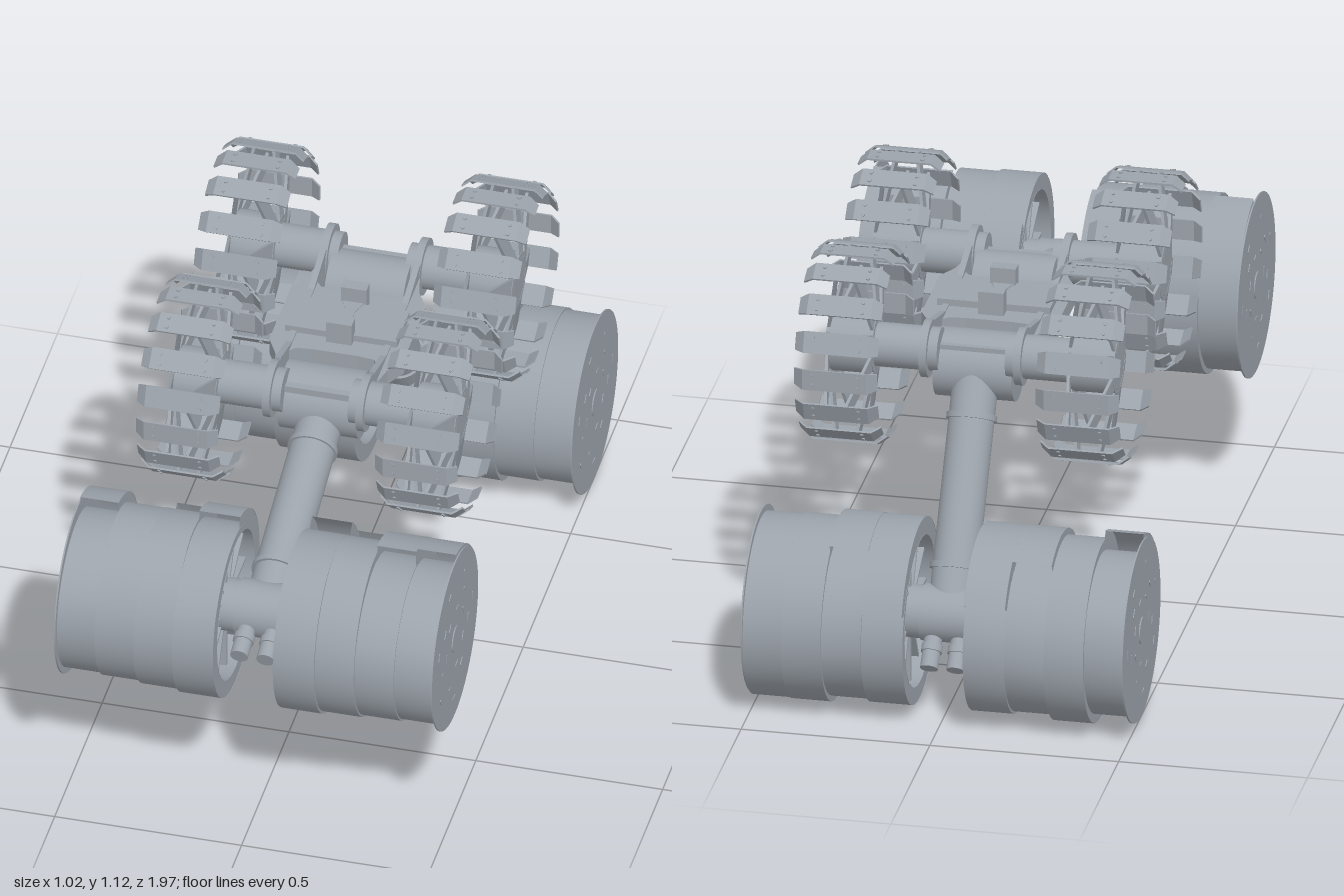
import * as THREE from 'three';
import { mergeGeometries, toCreasedNormals } from 'three/addons/utils/BufferGeometryUtils.js';

const metal = new THREE.MeshStandardMaterial({ color: 0x9ca3ab, side: THREE.DoubleSide });
metal.name = 'greyMetal';
const { PI, sin, cos } = Math;
const RAD = PI / 180;

function add(parent, name, geometry, x = 0, y = 0, z = 0) {
  const mesh = new THREE.Mesh(geometry, metal);
  mesh.name = name;
  mesh.position.set(x, y, z);
  parent.add(mesh);
  return mesh;
}

function group(parent, name, x = 0, y = 0, z = 0) {
  const g = new THREE.Group();
  g.name = name;
  g.position.set(x, y, z);
  parent.add(g);
  return g;
}

const box = (w, h, d) => new THREE.BoxGeometry(w, h, d);

// cylinder lying along x
const axle = (r, length, sides = 32) => new THREE.CylinderGeometry(r, r, length, sides).rotateZ(PI / 2);

// round bar between two points
function bar(parent, name, a, b, r, sides = 28) {
  const dir = b.clone().sub(a);
  const mesh = add(parent, name, new THREE.CylinderGeometry(r, r, dir.length(), sides));
  mesh.position.copy(a).addScaledVector(dir, 0.5);
  mesh.quaternion.setFromUnitVectors(new THREE.Vector3(0, 1, 0), dir.normalize());
}

// plate from an outline, centred on its thickness
function plate(points, thickness) {
  const shape = new THREE.Shape(points.map(p => new THREE.Vector2(...p)));
  return new THREE.ExtrudeGeometry(shape, { depth: thickness, bevelEnabled: false }).translate(0, 0, -thickness / 2);
}
const sidePlate = (points, thickness) => plate(points, thickness).rotateY(-PI / 2); // points are [z, y]
const flatPlate = (points, thickness) => plate(points, thickness).rotateX(PI / 2); // points are [x, z]

// ---- digging drums: four stepped segments, each a shell that flares into one open scoop lip ----
const EDGES = [0.08, 0.19, 0.295, 0.4, 0.503];
const BASE_RADII = [0.245, 0.238, 0.232, 0.227];
// t is the turn behind the lip; the shell tucks in again below the lip
function scoopRadius(t, base) {
  const flare = Math.max(0, 1 - t / 0.35), tuck = Math.max(0, (t - 0.8) / 0.2);
  return base + (0.257 - base) * flare - 0.022 * tuck;
}

function scoopShell(x0, x1, base, phase, dir) {
  const position = [], index = [], steps = 60;
  for (let i = 0; i <= steps; i++) {
    const t = 1.06 * i / steps, r = scoopRadius(t, base), a = phase + t * 2 * PI;
    for (const x of [x0, x1]) position.push(x, r * sin(a), dir * r * cos(a));
    const p = 2 * i;
    if (i < steps) index.push(...((x1 > x0) === (dir > 0) ? [p, p + 1, p + 2, p + 1, p + 3, p + 2] : [p, p + 2, p + 1, p + 1, p + 2, p + 3]));
  }
  const g = new THREE.BufferGeometry();
  g.setAttribute('position', new THREE.Float32BufferAttribute(position, 3));
  g.setIndex(index.reverse());
  g.computeVertexNormals();
  return g;
}

function scoopWall(x, base, phase, dir, hole) {
  const points = [];
  for (let i = 0; i <= 50; i++) {
    const t = i / 50, r = scoopRadius(t, base), a = phase + t * 2 * PI;
    points.push(new THREE.Vector2(dir * r * cos(a), r * sin(a)));
  }
  const shape = new THREE.Shape(points);
  if (hole) shape.holes.push(new THREE.Path().absarc(0, 0, hole, 0, 2 * PI, true));
  return new THREE.ShapeGeometry(shape, 24).rotateY(-PI / 2).translate(x, 0, 0);
}

function makeDrum(parent, side, dir, phases) {
  const drum = group(parent, side > 0 ? 'leftDrum' : 'rightDrum');
  phases.forEach((degrees, i) => {
    const a = side * EDGES[i], b = side * EDGES[i + 1], phase = degrees * RAD, base = BASE_RADII[i];
    add(drum, 'scoopShell', scoopShell(a, b, base, phase, dir));
    add(drum, 'scoopInnerWall', scoopWall(a + side * 0.001, base, phase, dir, i ? 0 : 0.2));
    add(drum, 'scoopOuterWall', scoopWall(b - side * 0.001, base, phase, dir));
  });
  // outer cap with a hub ring and short raised slots
  add(drum, 'endCap', axle(0.244, 0.004, 56), side * 0.504);
  add(drum, 'endHub', axle(0.036, 0.006, 28), side * 0.506);
  for (let i = 0; i < 18; i++) {
    const a = i * 137.5 * RAD, r = 0.09 + 0.045 * (i % 3);
    const slot = add(drum, 'capSlot', box(0.004, 0.006, 0.024), side * 0.506, r * sin(a), r * cos(a));
    slot.rotation.x = PI / 2 - a;
  }
  // ribbed recess on the inner end
  add(drum, 'recessWall', new THREE.CylinderGeometry(0.2, 0.2, 0.11, 40, 1, true).rotateZ(PI / 2), side * 0.135);
  add(drum, 'innerHub', axle(0.07, 0.13), side * 0.125);
  for (let i = 0; i < 12; i++) {
    const a = i * PI / 6;
    add(drum, 'recessRib', box(0.085, 0.135, 0.008), side * 0.147, 0.133 * cos(a), 0.133 * sin(a)).rotation.x = a;
  }
}

// ---- open wheels: sixteen thin bent slats carried on paired flat spokes ----
const slatHalf = [[0.085, 0], [0.11, -0.02], [0.108, -0.025], [0.084, -0.005]];
const slatOutline = [...slatHalf, ...slatHalf.map(([x, y]) => [-x, y]).reverse()];
const slatBody = plate(slatOutline, 0.057);
const slatPosition = slatBody.attributes.position;
// narrow the bent ends
for (let i = 0; i < slatPosition.count; i++)
  if (Math.abs(slatPosition.getX(i)) > 0.1) slatPosition.setZ(i, slatPosition.getZ(i) * 0.8);
slatBody.computeVertexNormals();
const slatParts = [slatBody.translate(0, 0.259, 0)];
for (const x of [-0.06, 0.06]) for (const z of [-0.014, 0.014])
  slatParts.push(new THREE.CylinderGeometry(0.005, 0.005, 0.005, 6).toNonIndexed().translate(x, 0.26, z));
const slatGeometry = mergeGeometries(slatParts);

function makeWheel(parent, side, z) {
  const wheel = group(parent, 'wheel', side * 0.32, 0.87, z);
  for (let i = 0; i < 16; i++) add(wheel, 'slat', slatGeometry).rotation.x = i * PI / 8;
  for (let i = 0; i < 8; i++) {
    const spokes = group(wheel, 'spokePair');
    spokes.rotation.x = (i + 0.5) * PI / 4;
    for (const s of [-1, 1]) add(spokes, 'spoke', box(0.008, 0.192, 0.046), s * 0.043, 0.156, 0).rotation.z = s * 0.17;
  }
  add(wheel, 'hub', new THREE.CylinderGeometry(0.078, 0.078, 0.125, 16).rotateZ(PI / 2));
  // axle housing towards the body
  add(parent, 'axleHousing', axle(0.058, 0.18), side * 0.18, 0.87, z);
  add(parent, 'axleFlange', axle(0.076, 0.02), side * 0.125, 0.87, z);
}

// ---- shoulder, swinging arm and drum pair ----
function makeArm(parent, { name, shoulderZ, drumY, drumZ, armTop, wheelZ, nubAngle, leftLips, rightLips }) {
  const dir = Math.sign(drumZ);
  const arm = group(parent, name);
  add(arm, 'shoulder', axle(0.09, 0.21, 40), 0, 0.815, shoulderZ);
  add(arm, 'shoulderBlock', box(0.2, 0.08, 0.08), 0, 0.85, (shoulderZ + wheelZ) / 2);
  const start = new THREE.Vector3(0, ...armTop), end = new THREE.Vector3(0, drumY, drumZ);
  const along = end.clone().sub(start).normalize();
  const at = (from, way, d) => from.clone().addScaledVector(way, d);
  bar(arm, 'armTube', start, end, 0.06);
  bar(arm, 'armCollar', at(end, along, -0.13), at(end, along, -0.115), 0.067);
  bar(arm, 'upperCollar', at(start, along, 0.13), at(start, along, 0.145), 0.066);
  add(arm, 'drumJoint', axle(0.075, 0.14), 0, drumY, drumZ);
  // paired motor ends behind the joint
  const out = new THREE.Vector3(0, -sin(nubAngle * RAD), dir * cos(nubAngle * RAD));
  for (const s of [-1, 1]) {
    const root = end.clone().setX(s * 0.035);
    bar(arm, 'motorNub', at(root, out, 0.03), at(root, out, 0.155), 0.024, 16);
    bar(arm, 'motorNubRing', at(root, out, 0.09), at(root, out, 0.11), 0.028, 16);
  }
  const drums = group(arm, 'drumPair', 0, drumY, drumZ);
  makeDrum(drums, 1, dir, leftLips);
  makeDrum(drums, -1, dir, rightLips);
}

export function createModel() {
  const model = new THREE.Group();
  model.name = 'excavatorRover';

  // deck with four curved corner horns reaching to the axle flanges
  const chassis = group(model, 'chassis');
  const corner = [[0.06, 0.13], [0.105, 0.135], [0.125, 0.16], [0.118, 0.23], [0.135, 0.23], [0.15, 0.17], [0.18, 0.115]];
  const rightEdge = [...corner, ...corner.map(([x, z]) => [x, -z]).reverse()];
  const deckOutline = [...rightEdge, ...rightEdge.map(([x, z]) => [-x, z]).reverse()];
  add(chassis, 'deck', flatPlate(deckOutline, 0.045), 0, 0.862, -0.118);
  add(chassis, 'housing', box(0.3, 0.09, 0.135), 0, 0.858, -0.115);
  add(chassis, 'belly', toCreasedNormals(sidePlate([[-0.02, 0.82], [-0.05, 0.71], [-0.18, 0.71], [-0.21, 0.82]], 0.2), 0.5));
  // sensor heads joined by a waisted mount
  for (const z of [-0.045, -0.2]) add(chassis, 'sensorHead', box(0.068, 0.07, 0.035), 0, 0.913, z);
  add(chassis, 'sensorMount', flatPlate([[0.034, 0.08], [0.014, 0.02], [0.014, -0.02], [0.034, -0.08],
    [-0.034, -0.08], [-0.014, -0.02], [-0.014, 0.02], [-0.034, 0.08]], 0.02), 0, 0.896, -0.123);
  // side webs under the horns
  const web = [[0.12, 0.925], [0.0, 0.89], [-0.23, 0.89], [-0.36, 0.925], [-0.36, 0.79], [-0.23, 0.82], [0.0, 0.82], [0.12, 0.79]];
  for (const s of [-1, 1]) add(chassis, 'sideWeb', sidePlate(web, 0.016), s * 0.126);

  // wheels
  for (const z of [0.18, -0.42]) for (const s of [-1, 1]) makeWheel(model, s, z);

  // raised front arm and lowered rear arm
  makeArm(model, {
    name: 'frontArm', shoulderZ: 0.12, drumY: 0.587, drumZ: 0.742, armTop: [0.79, 0.12], wheelZ: 0.18, nubAngle: 19,
    leftLips: [130, 150, 92, 95], rightLips: [100, 150, 165, 95],
  });
  makeArm(model, {
    name: 'rearArm', shoulderZ: -0.37, drumY: 0.265, drumZ: -0.735, armTop: [0.82, -0.39], wheelZ: -0.42, nubAngle: 46,
    leftLips: [20, 60, 275, 270], rightLips: [30, 60, 268, 100],
  });
  return model;
}
